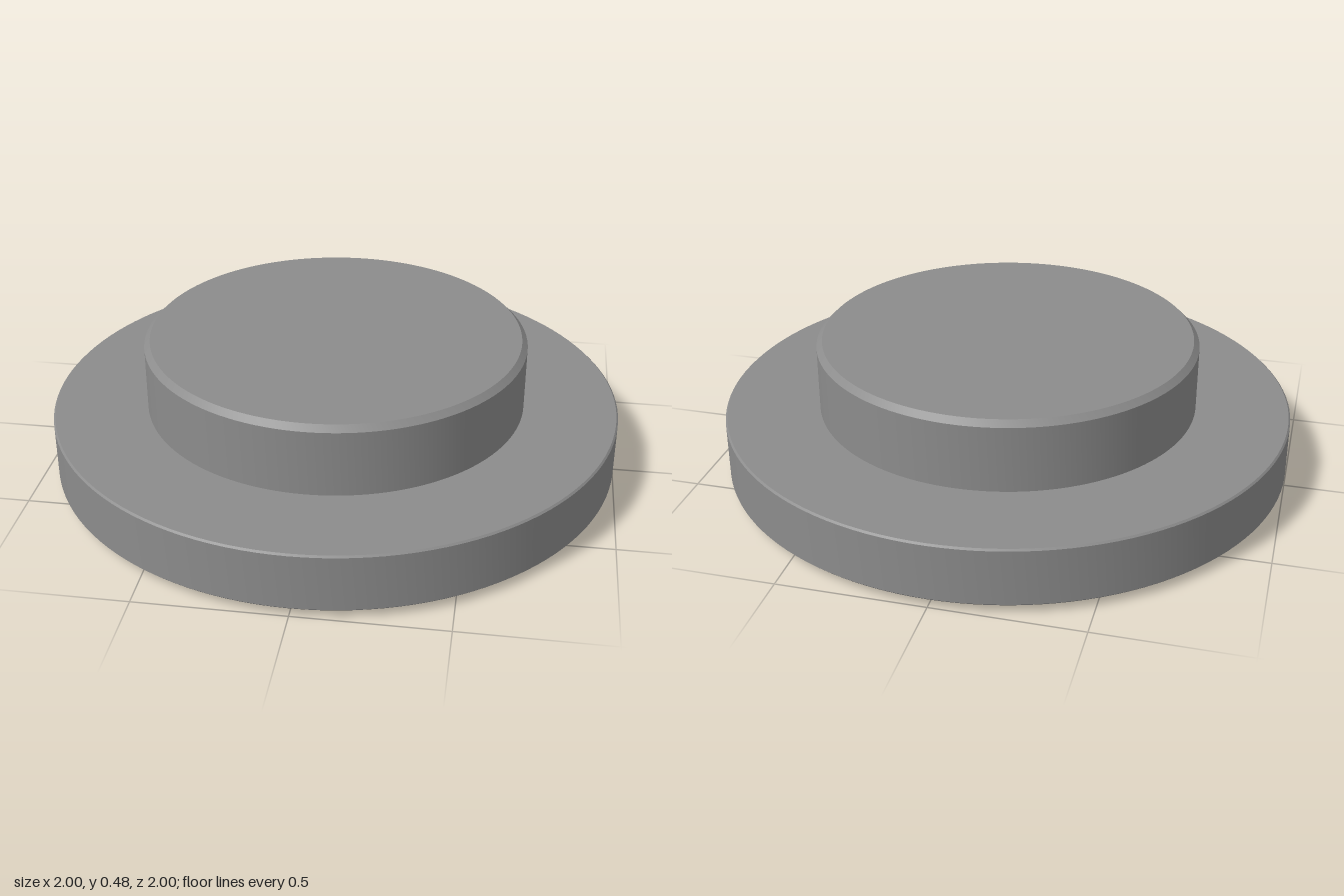
import * as THREE from 'three';
import { toCreasedNormals } from 'three/addons/utils/BufferGeometryUtils.js';

const grey = new THREE.MeshStandardMaterial({ color: 0x8c8c8c });
grey.name = 'grey';

// Turned section from [radius, height] pairs, listed from the underside up
function turned(name, profile) {
  const points = profile.map(([r, y]) => new THREE.Vector2(r, y));
  const geometry = toCreasedNormals(new THREE.LatheGeometry(points, 128), Math.PI / 9);
  const mesh = new THREE.Mesh(geometry, grey);
  mesh.name = name;
  return mesh;
}

export function createModel() {
  const model = new THREE.Group();
  model.name = 'flangedCap';
  model.add(
    // Recessed floor, straight wall and shallow countersink
    turned('undersideRecess', [[0, 0.095], [0.5, 0.095], [0.5, 0.035], [0.56, 0]]),
    // Thin raised ring the model stands on
    turned('footRing', [[0.56, 0], [0.69, 0], [0.69, 0.026]]),
    // Wide disc with finely broken edges
    turned('flange', [[0.69, 0.026], [0.994, 0.026], [1, 0.032], [1, 0.224], [0.994, 0.23], [0.67, 0.23]]),
    // Raised boss with a chamfered top edge
    turned('boss', [[0.67, 0.23], [0.67, 0.46], [0.65, 0.48], [0, 0.48]])
  );
  return model;
}
